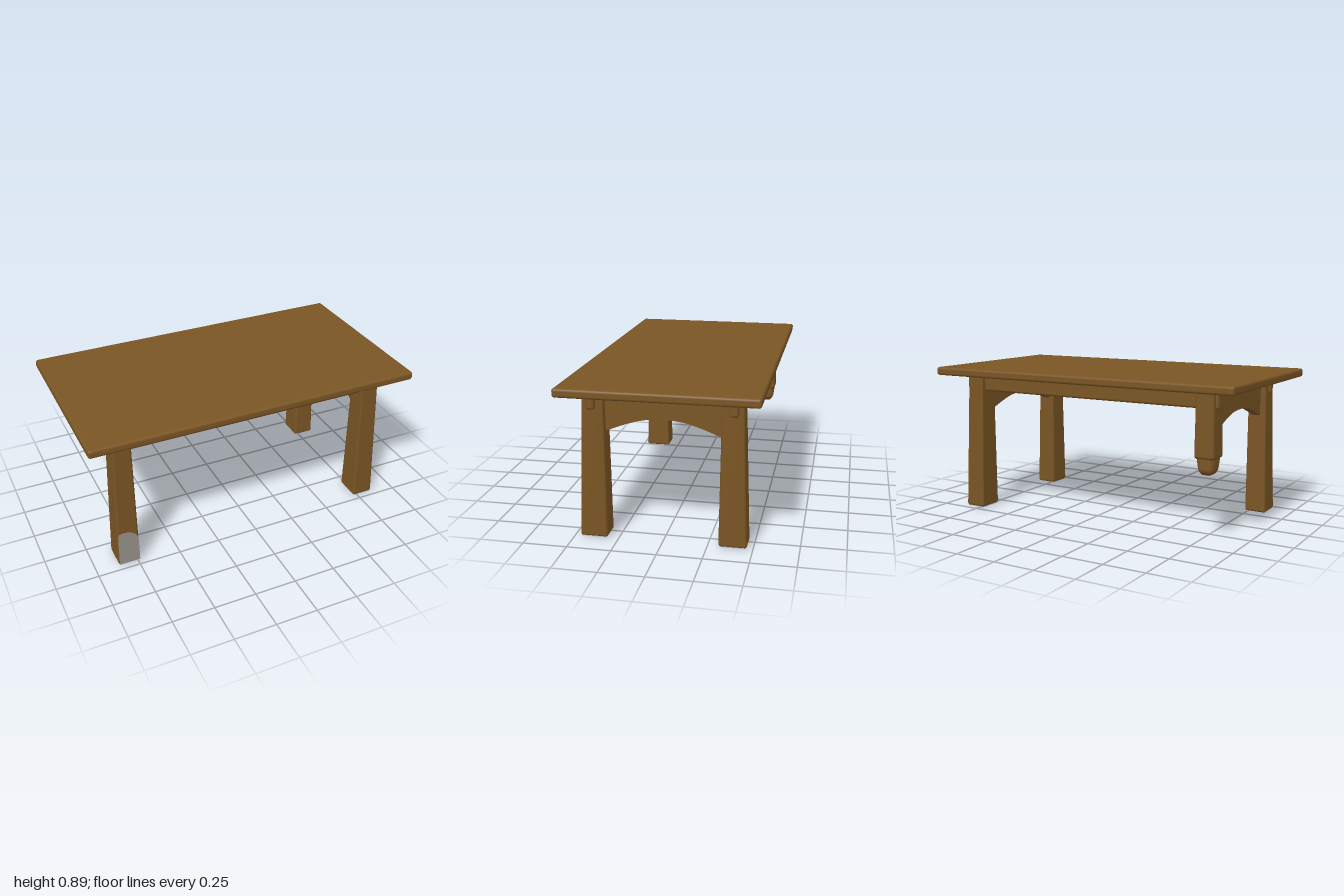
import * as THREE from 'three';
import { RoundedBoxGeometry } from 'three/addons/geometries/RoundedBoxGeometry.js';

const wood = new THREE.MeshStandardMaterial({ color: 0x7a5524 });
wood.name = 'brown wood';
const metal = new THREE.MeshStandardMaterial({ color: 0xb8bcc8 });
metal.name = 'pale foot grey';
const worn = new THREE.MeshStandardMaterial({ color: 0x968e88 });
worn.name = 'worn grey';

const TOP_Y = 0.845;  // where the legs meet the table top
const SHIFT = -0.007; // the base sits slightly off centre

function add(group, name, geometry, material) {
  const mesh = new THREE.Mesh(geometry, material);
  mesh.name = name;
  group.add(mesh);
  return mesh;
}

// Extent of a leg at height y: inner faces nearly upright, outer faces flare downward
function legSection(y) {
  const t = y / TOP_Y;
  const lerp = THREE.MathUtils.lerp;
  return { x0: 0.728, x1: lerp(0.86, 0.837, t), z0: lerp(0.31, 0.32, t), z1: lerp(0.468, 0.438, t) };
}

// Rounded block between two heights, fitted to the tapering leg section
function legGeometry(sx, sz, y0, y1, radius, shrink = 0) {
  const w = 0.13, d = 0.15, h = y1 - y0;
  const g = new RoundedBoxGeometry(w, h, d, 4, radius);
  const p = g.attributes.position;
  for (let i = 0; i < p.count; i++) {
    const y = p.getY(i) + (y0 + y1) / 2;
    const s = legSection(y);
    const k = 1 - shrink * (y1 - y) / h;
    const cx = (s.x0 + s.x1) / 2, cz = (s.z0 + s.z1) / 2;
    p.setXYZ(i,
      sx * cx + SHIFT + (p.getX(i) / w) * (s.x1 - s.x0) * k,
      y,
      sz * cz + (p.getZ(i) / d) * (s.z1 - s.z0) * k);
  }
  return g;
}

// End apron with an arched lower edge, lying in the z-y plane
function apronGeometry(thickness) {
  const shape = new THREE.Shape();
  shape.moveTo(-0.34, TOP_Y);
  shape.lineTo(-0.34, 0.605);
  shape.lineTo(-0.31, 0.615);
  shape.splineThru([
    [-0.2, 0.657], [-0.1, 0.684], [0, 0.691], [0.1, 0.684], [0.2, 0.657], [0.31, 0.615],
  ].map(([x, y]) => new THREE.Vector2(x, y)));
  shape.lineTo(0.34, 0.605);
  shape.lineTo(0.34, TOP_Y);
  const g = new THREE.ExtrudeGeometry(shape, { depth: thickness, bevelEnabled: false, curveSegments: 24 });
  g.translate(0, 0, -thickness / 2);
  return g.rotateY(Math.PI / 2);
}

export function createModel() {
  const table = new THREE.Group();
  table.name = 'table';

  // Table top
  const top = add(table, 'tableTop', new RoundedBoxGeometry(2, 0.05, 1.09, 4, 0.015), wood);
  top.position.y = 0.864;

  // Legs with pale feet; the back leg at -x is snapped off short
  for (const sx of [-1, 1]) {
    for (const sz of [-1, 1]) {
      const leg = new THREE.Group();
      leg.name = (sz > 0 ? 'front' : 'back') + (sx > 0 ? 'Left' : 'Right') + 'Leg';
      table.add(leg);
      if (sx < 0 && sz < 0) {
        add(leg, 'brokenPost', legGeometry(sx, sz, 0.47, TOP_Y, 0.02), wood);
        add(leg, 'splinteredTip', legGeometry(sx, sz, 0.38, 0.52, 0.04, 0.3), wood);
        continue;
      }
      add(leg, 'post', legGeometry(sx, sz, 0.004, TOP_Y, 0.014), wood);
      const foot = add(leg, 'foot', new THREE.BoxGeometry(0.116, 0.008, 0.142), metal);
      foot.position.set(sx * 0.794 + SHIFT, 0.004, sz * 0.389);
    }
  }

  // Long rails whose rounded ends poke through the legs
  for (const sz of [-1, 1]) {
    const rail = add(table, sz > 0 ? 'frontRail' : 'backRail', new RoundedBoxGeometry(1.72, 0.105, 0.05, 3, 0.015), wood);
    rail.position.set(0, 0.794, sz * 0.387);
  }

  // Arched end aprons
  for (const sx of [-1, 1]) {
    const apron = add(table, sx > 0 ? 'leftApron' : 'rightApron', apronGeometry(0.05), wood);
    apron.position.x = sx * 0.782 + SHIFT;
  }

  // Worn patch low on the front face of the front leg at -x
  const patch = new THREE.Shape();
  patch.moveTo(-0.862, 0.012);
  patch.lineTo(-0.857, 0.2);
  patch.quadraticCurveTo(-0.855, 0.225, -0.83, 0.225);
  patch.lineTo(-0.81, 0.225);
  patch.quadraticCurveTo(-0.75, 0.215, -0.738, 0.17);
  patch.lineTo(-0.738, 0.012);
  const patchMesh = add(table, 'wornPatch',
    new THREE.ExtrudeGeometry(patch, { depth: 0.004, bevelEnabled: false }), worn);
  patchMesh.position.z = 0.466;
  patchMesh.rotation.x = -Math.atan(0.03 / TOP_Y);

  return table;
}
